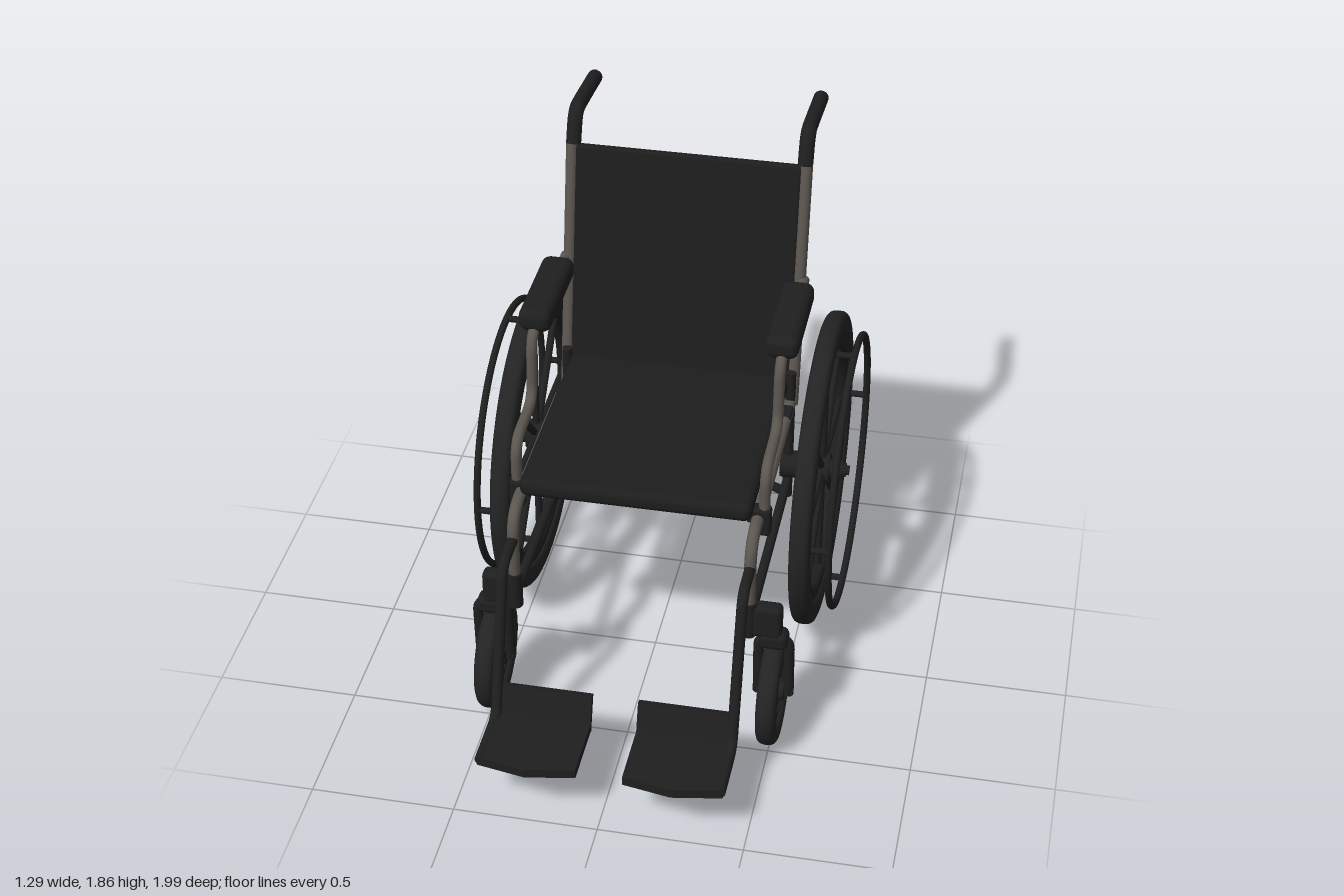
import * as THREE from 'three';
import { mergeGeometries } from 'three/addons/utils/BufferGeometryUtils.js';
import { RoundedBoxGeometry } from 'three/addons/geometries/RoundedBoxGeometry.js';

const material = (name, color) => {
  const m = new THREE.MeshStandardMaterial({ color });
  m.name = name;
  return m;
};
const V = (x, y, z) => new THREE.Vector3(x, y, z);

// Capped tube through points, with every corner rounded by the bend radius
function tubeGeometry(pts, r, bend = 0.07) {
  const path = new THREE.CurvePath();
  let from = pts[0];
  for (let i = 1; i < pts.length - 1; i++) {
    const p = pts[i];
    const toward = (q) => p.clone().add(q.clone().sub(p).setLength(Math.min(bend, p.distanceTo(q) * 0.45)));
    const a = toward(pts[i - 1]), b = toward(pts[i + 1]);
    path.add(new THREE.LineCurve3(from, a));
    path.add(new THREE.QuadraticBezierCurve3(a, p, b));
    from = b;
  }
  path.add(new THREE.LineCurve3(from, pts[pts.length - 1]));
  const cap = (t, sign) => {
    const g = new THREE.CircleGeometry(r, 14);
    g.applyQuaternion(new THREE.Quaternion().setFromUnitVectors(V(0, 0, 1), path.getTangentAt(t).multiplyScalar(sign)));
    const p = path.getPointAt(t);
    return g.translate(p.x, p.y, p.z);
  };
  const segments = pts.length > 2 ? 72 : 1;
  return mergeGeometries([new THREE.TubeGeometry(path, segments, r, 14), cap(0, -1), cap(1, 1)]);
}

// Ring around z with a softly squared cross-section
function ringGeometry(R, a, b, power = 0.7) {
  const soft = (v) => Math.sign(v) * Math.pow(Math.abs(v), power);
  const profile = [];
  for (let i = 0; i <= 20; i++) {
    const t = (i / 20) * Math.PI * 2;
    profile.push(new THREE.Vector2(R + a * soft(Math.cos(t)), b * soft(Math.sin(t))));
  }
  return new THREE.LatheGeometry(profile, 64).rotateX(Math.PI / 2);
}

export function createModel() {
  const model = new THREE.Group();
  model.name = 'wheelchair';
  const black = material('black', 0x1f1f1f);
  const fabric = material('black fabric', 0x1d1d1d);
  const rubber = material('dark rubber', 0x232323);
  const metal = material('grey metal', 0x5c5650);

  const add = (parent, name, geometry, mat, x = 0, y = 0, z = 0) => {
    const mesh = new THREE.Mesh(geometry, mat);
    mesh.name = name;
    mesh.position.set(x, y, z);
    parent.add(mesh);
    return mesh;
  };
  const disc = (r, depth) => new THREE.CylinderGeometry(r, r, depth, 28).rotateX(Math.PI / 2);
  const box = (w, h, d, r = 0.01) => new RoundedBoxGeometry(w, h, d, 3, r);

  // Large wheel facing +z: tyre, rim, spokes, hub and hand rim
  function rearWheel() {
    const g = new THREE.Group();
    g.name = 'rearWheel';
    add(g, 'tyre', ringGeometry(0.533, 0.042, 0.038), rubber);
    add(g, 'rim', ringGeometry(0.468, 0.028, 0.028), black);
    for (let i = 0; i < 8; i++) {
      const a = (i * Math.PI) / 4, c = Math.cos(a), s = Math.sin(a);
      add(g, 'spoke', tubeGeometry([V(c * 0.03, s * 0.03, 0), V(c * 0.45, s * 0.45, 0)], 0.014), black);
      if (i % 2 === 0) add(g, 'handRimPeg', disc(0.012, 0.1), black, c * 0.497, s * 0.497, 0.047);
    }
    add(g, 'handRim', new THREE.TorusGeometry(0.497, 0.013, 12, 64), black, 0, 0, 0.097);
    add(g, 'hub', disc(0.055, 0.06), black);
    add(g, 'hubCap', disc(0.035, 0.07), black, 0, 0, 0.04);
    add(g, 'axle', disc(0.018, 0.25), black, 0, 0, -0.025);
    add(g, 'axleNut', disc(0.026, 0.022), black, 0, 0, 0.078);
    add(g, 'axleMount', disc(0.05, 0.075), black, 0, 0, -0.112);
    return g;
  }

  // Small front wheel facing +z
  function casterWheel() {
    const g = new THREE.Group();
    g.name = 'casterWheel';
    add(g, 'casterTyre', ringGeometry(0.165, 0.035, 0.036, 0.8), rubber);
    add(g, 'casterDisc', disc(0.145, 0.036), rubber);
    add(g, 'casterRidge', ringGeometry(0.095, 0.012, 0.026), rubber);
    add(g, 'casterHub', disc(0.04, 0.08), black);
    add(g, 'casterAxle', disc(0.018, 0.14), black);
    return g;
  }

  // Everything that repeats on both sides
  for (const s of [1, -1]) {
    const g = new THREE.Group();
    g.name = s > 0 ? 'leftSide' : 'rightSide';
    model.add(g);
    const tube = (name, mat, x, yz, r, bend) =>
      add(g, name, tubeGeometry(yz.map(([y, z]) => V(s * x, y, z)), r, bend), mat);

    const wheel = rearWheel();
    wheel.position.set(s * 0.535, 0.58, -0.42);
    wheel.rotation.y = (s * Math.PI) / 2;
    const caster = casterWheel();
    caster.position.set(s * 0.497, 0.205, 0.394);
    caster.rotation.y = (s * Math.PI) / 2;
    g.add(wheel, caster);

    // Frame tubes
    tube('backPost', metal, 0.415, [[1.74, -0.587], [0.84, -0.43]], 0.022);
    tube('rearUpright', black, 0.41, [[0.98, -0.42], [0.44, -0.42]], 0.018);
    tube('seatRail', metal, 0.41, [[0.85, -0.43], [0.85, 0.425], [0.55, 0.425]], 0.021, 0.11);
    tube('frontSleeve', black, 0.41, [[0.6, 0.425], [0.46, 0.425]], 0.027);
    tube('lowerRail', black, 0.41, [[0.51, 0.42], [0.51, -0.42]], 0.017);
    tube('pushHandle', black, 0.41, [[1.73, -0.585], [1.84, -0.625], [1.832, -0.73], [1.81, -0.94]], 0.027, 0.08);
    add(g, 'braceBracket', box(0.06, 0.055, 0.08), black, s * 0.4, 0.845, -0.335);

    // Armrest
    tube('armTube', metal, 0.43, [[1.31, -0.52], [1.31, 0.01], [1.05, 0.025], [1.04, 0.27], [0.84, 0.27]], 0.019, 0.075);
    add(g, 'armPad', box(0.115, 0.085, 0.4, 0.032), black, s * 0.428, 1.338, -0.21);
    add(g, 'armClamp', box(0.055, 0.11, 0.05, 0.015), black, s * 0.427, 0.835, 0.27);
    add(g, 'railClamp', box(0.05, 0.06, 0.05, 0.012), black, s * 0.395, 0.86, 0.27);

    // Caster fork
    add(g, 'casterBracket', box(0.11, 0.13, 0.06, 0.02), black, s * 0.47, 0.525, 0.415);
    add(g, 'casterFork', tubeGeometry([-0.053, -0.053, 0.053, 0.053].map((dx, i) =>
      V(s * 0.497 + dx, i % 3 ? 0.445 : 0.19, i % 3 ? 0.41 : 0.394)), 0.019, 0.045), black);
    add(g, 'forkCrown', box(0.1, 0.07, 0.075, 0.025), black, s * 0.497, 0.445, 0.41);

    // Footrest
    tube('footHanger', black, 0.41, [[0.745, 0.43], [0.742, 0.57], [0.21, 0.735], [0.21, 0.96]], 0.019, 0.05);
    const plate = new THREE.Shape([[-0.17, 0], [0.17, 0], [0.17, 0.235], [0, 0.265], [-0.17, 0.235]]
      .map(([x, z]) => new THREE.Vector2(x, z)));
    add(g, 'footPlate', new THREE.ExtrudeGeometry(plate, { depth: 0.034, bevelEnabled: false })
      .rotateX(Math.PI / 2), black, s * 0.25, 0.226, 0.73);
    add(g, 'heelFlap', new THREE.BoxGeometry(0.34, 0.14, 0.025), black, s * 0.25, 0.257, 0.71).rotation.x = -0.31;

    // Folding cross brace
    add(g, 'crossBrace', tubeGeometry([V(s * 0.4, 0.855, -0.33 + s * 0.017), V(-s * 0.4, 0.51, -0.33 + s * 0.017)], 0.017), black);
  }
  add(model, 'braceBolt', disc(0.014, 0.09), black, 0, 0.683, -0.33);

  // Seat and sling back
  add(model, 'seat', box(0.8, 0.068, 0.82, 0.028), fabric, 0, 0.92, -0.035);
  const back = new THREE.Group();
  back.name = 'backrest';
  back.position.set(0, 1.295, -0.51);
  back.rotation.x = -0.173;
  add(back, 'backPanel', box(0.805, 0.885, 0.034, 0.014), fabric);
  add(back, 'backLowerPanel', box(0.79, 0.44, 0.02, 0.009), fabric, 0, -0.215, -0.014);
  add(back, 'backSeam', box(0.795, 0.022, 0.022, 0.009), fabric, 0, 0.01, -0.018);
  model.add(back);
  return model;
}
